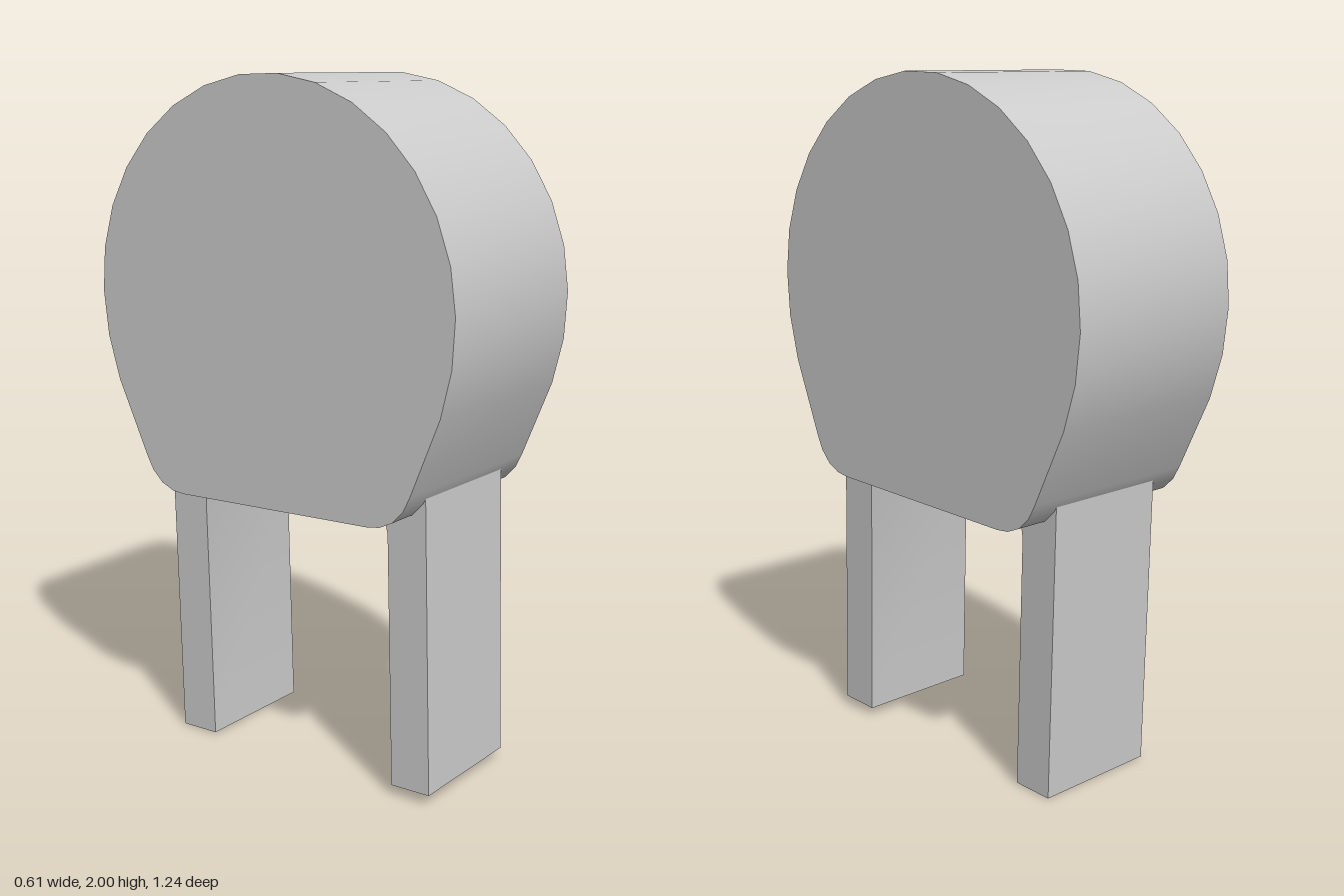
import * as THREE from 'three';
import { toCreasedNormals } from 'three/addons/utils/BufferGeometryUtils.js';

const material = new THREE.MeshStandardMaterial({ color: 0xcccccc });

// Extrudes a side profile of [z, y] points to a width centred on x = 0
function sideExtrusion(name, points, width) {
  const shape = new THREE.Shape(points.map(([z, y]) => new THREE.Vector2(z, y)));
  const geometry = new THREE.ExtrudeGeometry(shape, { depth: width, bevelEnabled: false });
  geometry.translate(0, 0, -width / 2);
  geometry.rotateY(-Math.PI / 2);
  const mesh = new THREE.Mesh(toCreasedNormals(geometry, Math.PI / 6), material);
  mesh.name = name;
  return mesh;
}

export function createModel() {
  const model = new THREE.Group();
  model.name = 'drumOnLegs';

  // Everything is laid out around the drum centre, then tilted very slightly
  const tilted = new THREE.Group();
  tilted.name = 'tiltedAssembly';
  tilted.position.set(0, 1.386, 0.002);
  tilted.rotation.set(-0.034, -0.016, -0.008);
  model.add(tilted);

  // Drum: round top, sides tapering to a flat base with rounded corners
  const radius = 0.615;
  const steps = 15;
  const profile = [];
  for (let i = 0; i <= steps; i++) {
    const a = (i / steps) * Math.PI;
    profile.push([radius * Math.cos(a), radius * Math.sin(a)]);
  }
  const lower = [
    [0.603, -0.135], [0.567, -0.265], [0.47, -0.485], [0.448, -0.527],
    [0.413, -0.562], [0.371, -0.581], [0.33, -0.586],
  ];
  profile.push(...lower.map(([z, y]) => [-z, y]));
  profile.push(...lower.slice().reverse());
  tilted.add(sideExtrusion('drum', profile, 0.586));

  // Legs: flat slabs with a small inner flare where they meet the base
  const leg = [
    [0.33, -1.369], [0.456, -1.369], [0.456, -0.48], [0.315, -0.48],
    [0.315, -0.586], [0.324, -0.6], [0.33, -0.63],
  ];
  tilted.add(sideExtrusion('frontLeg', leg, 0.392));
  tilted.add(sideExtrusion('backLeg', leg.map(([z, y]) => [-z, y]), 0.392));

  return model;
}
